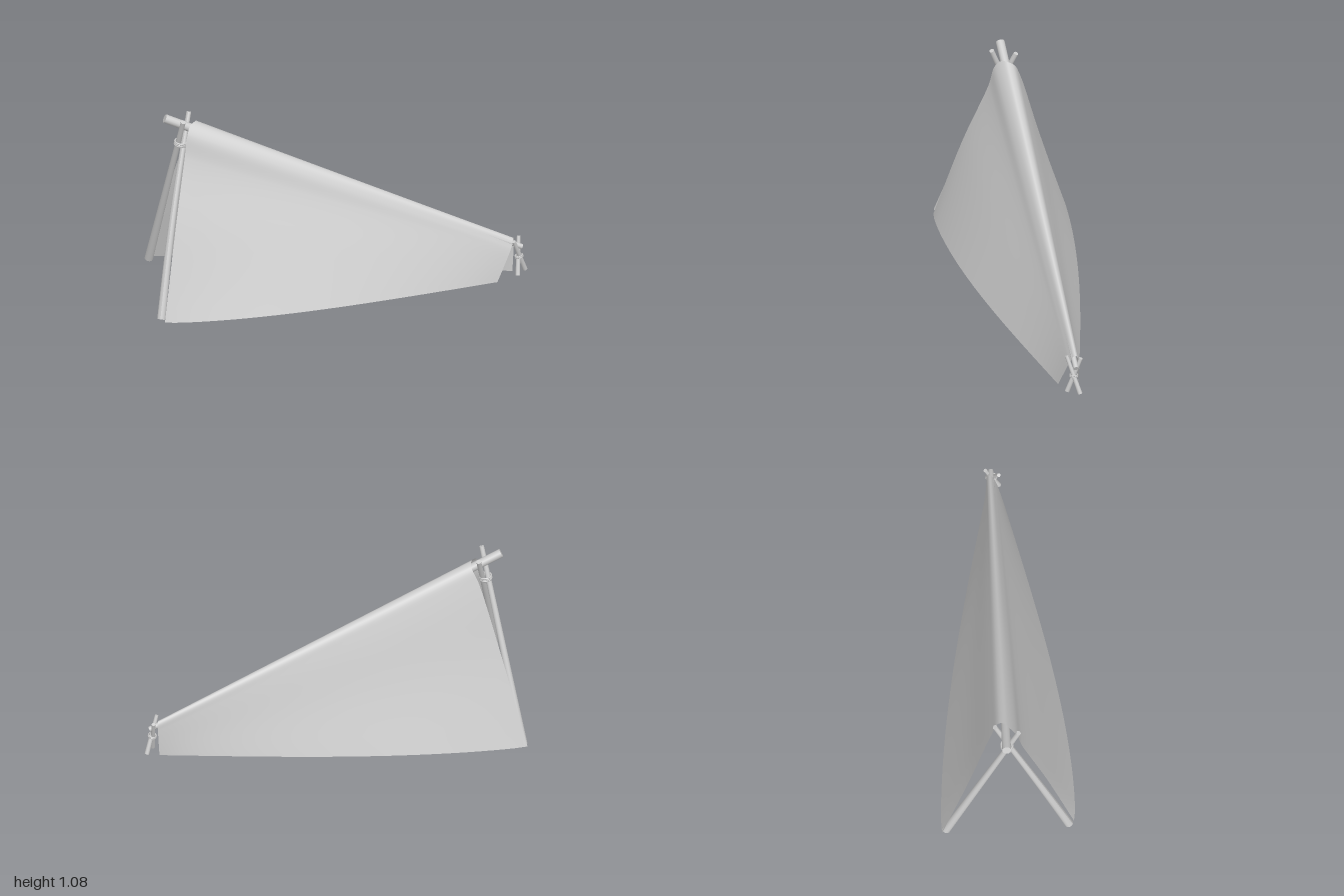
import * as THREE from 'three';

const V = (x, y, z) => new THREE.Vector3(x, y, z);
const material = new THREE.MeshStandardMaterial({ color: 0xcccccc });
const clothMaterial = new THREE.MeshStandardMaterial({ color: 0xcccccc, side: THREE.DoubleSide });

// Tapered round pole from a to b, optionally bowed sideways
function pole(name, a, b, rA, rB, bow = V(0, 0, 0)) {
  const dir = b.clone().sub(a);
  const length = dir.length();
  const g = new THREE.CylinderGeometry(rB, rA, length, 12, 10);
  g.translate(0, length / 2, 0);
  g.applyQuaternion(new THREE.Quaternion().setFromUnitVectors(V(0, 1, 0), dir.clone().normalize()));
  g.translate(a.x, a.y, a.z);
  const p = g.attributes.position;
  const q = V(0, 0, 0);
  for (let i = 0; i < p.count; i++) {
    q.fromBufferAttribute(p, i);
    const t = THREE.MathUtils.clamp(q.clone().sub(a).dot(dir) / (length * length), 0, 1);
    q.addScaledVector(bow, Math.sin(Math.PI * t));
    p.setXYZ(i, q.x, q.y, q.z);
  }
  if (bow.lengthSq() > 0) g.computeVertexNormals();
  const mesh = new THREE.Mesh(g, material);
  mesh.name = name;
  return mesh;
}

// Rope turns wound around the crossing of two poles
function lashing(name, centre, axis, radius, rope) {
  const group = new THREE.Group();
  group.name = name;
  for (const s of [-1, 0, 1]) {
    const ring = new THREE.Mesh(new THREE.TorusGeometry(radius, rope, 8, 20), material);
    ring.quaternion.setFromUnitVectors(V(0, 0, 1), axis.clone().normalize());
    ring.position.copy(centre).addScaledVector(axis.clone().normalize(), s * rope * 1.6);
    group.add(ring);
  }
  return group;
}

// One sheet draped over the ridge: a section at each end, blended along the ridge.
// Each row: point at the tall end, point at the low end, outward bulge in z.
function cloth() {
  const rows = [
    [V(-0.715, 0.015, 0.525), V(0.87, 0, -0.38), 0.075],
    [V(-0.7, 0.5, 0.365), V(0.9, 0.09, -0.415), 0.03],
    [V(-0.688, 0.86, 0.225), V(0.922, 0.16, -0.443), 0.008],
    [V(-0.682, 0.98, 0.193), V(0.928, 0.185, -0.455), 0],
    [V(-0.675, 1.025, 0.155), V(0.93, 0.218, -0.472), 0],
    [V(-0.66, 1.032, 0.12), V(0.93, 0.222, -0.485), 0],
    [V(-0.665, 1.015, 0.085), V(0.93, 0.205, -0.497), 0],
    [V(-0.71, 0.93, 0.06), V(0.928, 0.17, -0.499), -0.005],
    [V(-0.85, 0.5, -0.02), V(0.924, 0.09, -0.499), -0.025],
    [V(-1, 0.018, -0.12), V(0.92, 0.01, -0.497), -0.055],
  ];
  const nu = 32, nv = 54;
  const pos = [], index = [];
  for (let i = 0; i <= nu; i++) {
    const t = i / nu;
    const section = rows.map(([a, b, bulge]) => {
      const p = a.clone().lerp(b, t);
      p.z += bulge * Math.sin(Math.PI * Math.pow(t, 0.75));
      return p;
    });
    const curve = new THREE.CatmullRomCurve3(section, false, 'centripetal');
    for (let j = 0; j <= nv; j++) {
      const p = curve.getPoint(j / nv);
      pos.push(p.x, Math.max(p.y, 0), p.z);
      if (i < nu && j < nv) {
        const k = i * (nv + 1) + j, n = k + nv + 1;
        index.push(k, n, k + 1, n, n + 1, k + 1);
      }
    }
  }
  const g = new THREE.BufferGeometry();
  g.setAttribute('position', new THREE.Float32BufferAttribute(pos, 3));
  g.setIndex(index);
  g.computeVertexNormals();
  const mesh = new THREE.Mesh(g, clothMaterial);
  mesh.name = 'clothSheet';
  return mesh;
}

export function createModel() {
  const model = new THREE.Group();
  model.name = 'leanToTent';

  model.add(cloth());
  model.add(pole('ridgePole', V(-0.81, 1.06, 0.18), V(0.975, 0.172, -0.492), 0.024, 0.014));

  // Tall crossed legs at the open end
  model.add(pole('tallBackLeg', V(-0.975, 0.022, -0.105), V(-0.7, 1.07, 0.21), 0.023, 0.013));
  model.add(pole('tallFrontLeg', V(-0.74, 0.022, 0.505), V(-0.705, 1.062, 0.08), 0.023, 0.013, V(-0.008, 0, 0.015)));
  model.add(lashing('tallLashing', V(-0.73, 0.91, 0.155), V(0.12, 1, 0), 0.031, 0.005));

  // Short crossed legs at the low end
  model.add(pole('shortBackLeg', V(0.985, 0.024, -0.515), V(0.945, 0.228, -0.437), 0.013, 0.01));
  model.add(pole('shortFrontLeg', V(0.965, 0.022, -0.443), V(0.95, 0.223, -0.514), 0.013, 0.01));
  model.add(lashing('shortLashing', V(0.962, 0.12, -0.478), V(-0.25, 1, 0), 0.021, 0.003));

  return model;
}
